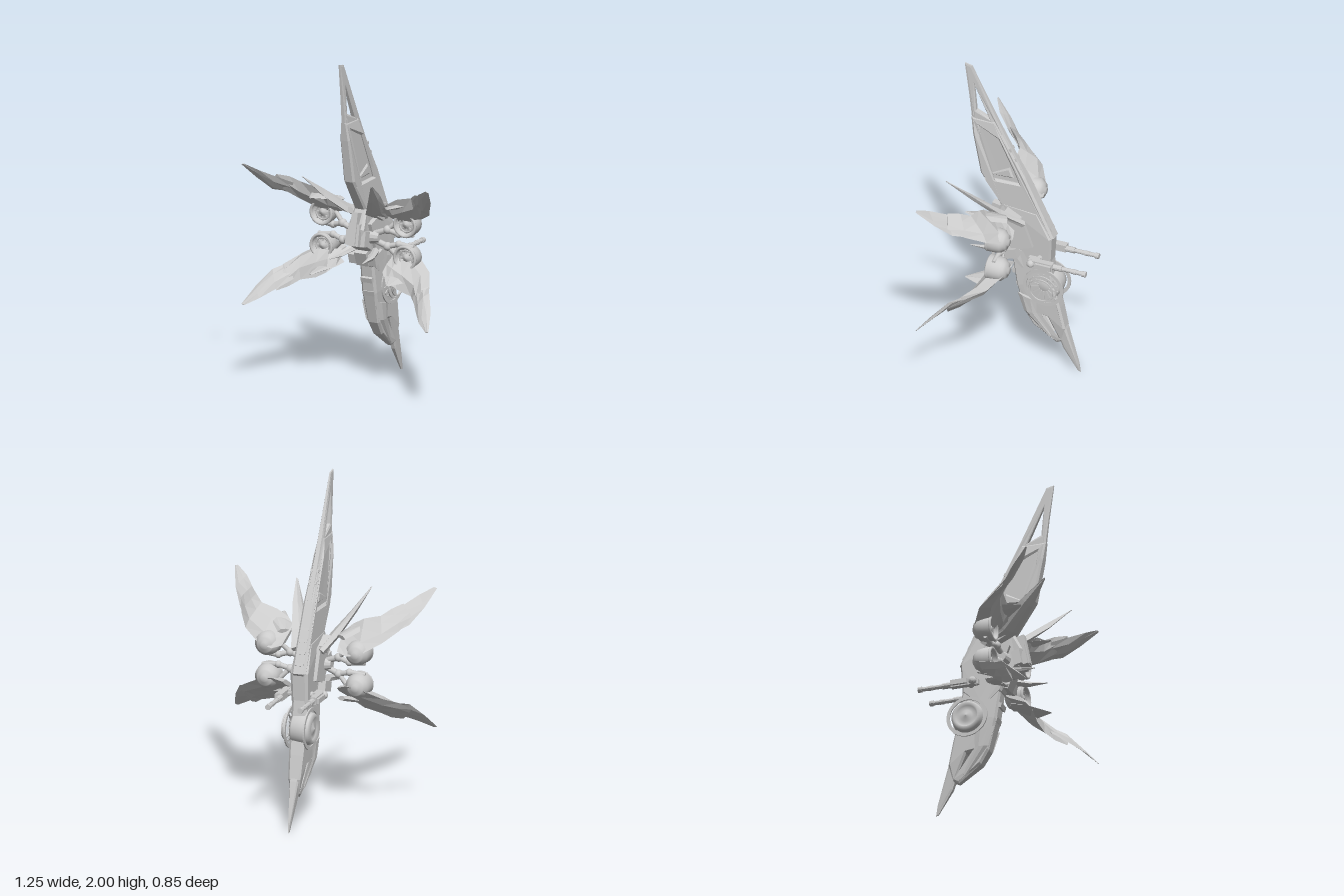
import * as THREE from 'three';

const flat = new THREE.MeshStandardMaterial({ color: 0xcccccc, flatShading: true });
const smooth = new THREE.MeshStandardMaterial({ color: 0xcccccc });
const MID = 0.91; // height about which upper and lower limbs mirror
const V = (p) => new THREE.Vector3(...p);

// Turn faces outward by checking the signed volume
function orient(geo) {
  const p = geo.attributes.position;
  if (!geo.index) geo.setIndex([...Array(p.count).keys()]);
  const ix = geo.index.array, a = new THREE.Vector3(), b = a.clone(), c = a.clone();
  let vol = 0;
  for (let i = 0; i < ix.length; i += 3) {
    a.fromBufferAttribute(p, ix[i]); b.fromBufferAttribute(p, ix[i + 1]); c.fromBufferAttribute(p, ix[i + 2]);
    vol += a.dot(b.cross(c));
  }
  if (vol < 0) for (let i = 0; i < ix.length; i += 3) [ix[i], ix[i + 1]] = [ix[i + 1], ix[i]];
  return geo;
}

// Closed blade lofted through stations [edgeA, edgeB, thickness]
function blade(stations, bow = 0) {
  const pos = [], idx = [], n = 6;
  stations.forEach(([A, B, t], i) => {
    const a = V(A), b = V(B), prev = stations[Math.max(i - 1, 0)], next = stations[Math.min(i + 1, stations.length - 1)];
    const span = V(next[0]).add(V(next[1])).sub(V(prev[0])).sub(V(prev[1]));
    const nor = b.clone().sub(a).cross(span).normalize();
    const at = (u, h) => a.clone().lerp(b, u).addScaledVector(nor, h + bow * t * Math.sin(Math.PI * u));
    [at(0, 0), at(0.3, t), at(0.7, t * 0.8), at(1, 0), at(0.7, -t * 0.8), at(0.3, -t)].forEach((q) => pos.push(q.x, q.y, q.z));
  });
  const last = (stations.length - 1) * n;
  for (let s = 0; s < last; s += n)
    for (let k = 0; k < n; k++) {
      const k2 = (k + 1) % n;
      idx.push(s + k, s + k2, s + n + k, s + k2, s + n + k2, s + n + k);
    }
  for (let k = 1; k < n - 1; k++) idx.push(0, k + 1, k, last, last + k, last + k + 1);
  const g = new THREE.BufferGeometry();
  g.setAttribute('position', new THREE.Float32BufferAttribute(pos, 3));
  g.setIndex(idx);
  g.computeVertexNormals();
  return orient(g);
}

// Side profile in [z, y], extruded across x, half width set by height
function sidePlate(pts, holes, half) {
  const v2 = (l) => l.map(([z, y]) => new THREE.Vector2(z, y));
  const shape = new THREE.Shape(v2(pts));
  holes.forEach((h) => shape.holes.push(new THREE.Path(v2(h))));
  const g = new THREE.ExtrudeGeometry(shape, { depth: 1.4, bevelEnabled: true, bevelThickness: 0.3, bevelSize: 0.012, bevelOffset: -0.012, bevelSegments: 1 });
  g.translate(0, 0, -0.7).rotateY(-Math.PI / 2);
  const p = g.attributes.position;
  for (let i = 0; i < p.count; i++) p.setX(i, p.getX(i) * half(p.getY(i)));
  g.computeVertexNormals();
  return g;
}

// Half width interpolated from [y, width] pairs
const ramp = (tab) => (y) => {
  let i = 0;
  while (i < tab.length - 2 && y > tab[i + 1][0]) i++;
  const [[y0, w0], [y1, w1]] = [tab[i], tab[i + 1]];
  return THREE.MathUtils.lerp(w0, w1, THREE.MathUtils.clamp((y - y0) / (y1 - y0), 0, 1));
};

function rod(a, b, r0, r1 = r0, sides = 10) {
  const d = V(b).sub(V(a));
  const g = new THREE.CylinderGeometry(r1, r0, d.length(), sides);
  g.applyQuaternion(new THREE.Quaternion().setFromUnitVectors(new THREE.Vector3(0, 1, 0), d.clone().normalize()));
  return g.translate(...V(a).addScaledVector(d, 0.5).toArray());
}
const box = (w, h, d, x, y, z, rx = 0) => new THREE.BoxGeometry(w, h, d).rotateX(rx).translate(x, y, z);
const ball = (r, x, y, z) => new THREE.SphereGeometry(r, 14, 10).translate(x, y, z);
const lathe = (pts) => new THREE.LatheGeometry(pts.map(([r, y]) => new THREE.Vector2(r, y)), 32);

export function createModel() {
  const model = new THREE.Group();
  const add = (name, geo, mat = flat, parent = model) => {
    const m = new THREE.Mesh(geo, mat);
    m.name = name;
    parent.add(m);
  };
  // Add a copy mirrored in x (sx) and about MID in y (sy)
  const mirrored = (name, geo, sx, sy, mat, parent) =>
    add(name, orient(geo.clone().translate(0, -MID, 0).scale(sx, sy, 1).translate(0, MID, 0)), mat, parent);
  const pair = (name, geo, mat) => [1, -1].forEach((s) => mirrored(name, geo, s, 1, mat));

  // Dorsal fin: thin pierced blade inside a thicker armour frame
  add('dorsalFin', sidePlate(
    [[0.37, 2], [0.325, 1.99], [0.167, 1.66], [-0.02, 1.3], [-0.2, 0.92], [0, 0.9], [0.12, 1.08], [0.26, 1.29], [0.31, 1.53], [0.34, 1.79]],
    [[[0.31, 1.87], [0.21, 1.65], [0.295, 1.69]]], ramp([[0.9, 0.02], [1.6, 0.018], [2, 0.006]])));
  add('finArmour', sidePlate(
    [[0.325, 1.64], [0.175, 1.64], [-0.02, 1.3], [-0.2, 0.92], [-0.12, 0.82], [0.04, 0.85], [0.12, 1.06], [0.26, 1.27], [0.31, 1.53]],
    [[[0.275, 1.59], [0.15, 1.53], [0.045, 1.31], [0.02, 1.25], [0.22, 1.245]]], ramp([[0.85, 0.045], [1.3, 0.036], [1.55, 0.032], [1.64, 0.018]])));
  add('finInset', sidePlate([[0.21, 1.27], [0.08, 1.345], [0.055, 1.275]], [], () => 0.027));
  for (let i = 0; i < 9; i++) // ribs down the spine
    add('spineRib', box(0.05, 0.02, 0.02, 0, 0.97 + i * 0.062, -0.172 + i * 0.0315, 0.47));

  // Core body and front armour
  add('coreBody', sidePlate(
    [[0.12, 1.1], [-0.1, 1.08], [-0.19, 0.92], [-0.18, 0.74], [-0.05, 0.62], [0.06, 0.72], [0.1, 0.82], [0.17, 0.86], [0.19, 0.97]],
    [], ramp([[0.62, 0.045], [0.85, 0.055], [0.98, 0.055], [1.1, 0.04]])));
  add('chestBlock', box(0.075, 0.13, 0.1, 0, 0.93, 0.16, -0.2));
  add('chestRidge', box(0.04, 0.19, 0.06, 0, 0.97, 0.18, -0.2));
  add('lowerChest', box(0.08, 0.09, 0.1, 0, 0.79, 0.07, 0.4));
  pair('sidePanel', box(0.03, 0.2, 0.14, 0.055, 0.92, 0.02, 0.35));
  pair('chestPlate', box(0.03, 0.09, 0.05, 0.05, 0.91, 0.16, -0.2));
  pair('shoulderBlock', box(0.05, 0.05, 0.1, 0.075, 1.04, 0.05, -0.5));
  pair('hipBlock', box(0.05, 0.06, 0.1, 0.065, 0.78, 0.06, 0.3));
  pair('coreJoint', rod([0.05, 0.91, 0.08], [0.105, 0.91, 0.08], 0.045, 0.03, 12));

  // Tail boom with slit, ending in a blade
  add('tailBoom', sidePlate(
    [[0.07, 0.82], [0.03, 0.55], [-0.02, 0.36], [-0.07, 0.28], [-0.21, 0.18], [-0.25, 0.2], [-0.27, 0.3], [-0.24, 0.44], [-0.2, 0.6], [-0.18, 0.76]],
    [[[-0.09, 0.37], [-0.16, 0.36], [-0.225, 0.22], [-0.195, 0.215], [-0.11, 0.28]]],
    ramp([[0.18, 0.02], [0.3, 0.038], [0.55, 0.05], [0.8, 0.045]])));
  add('tailBlade', sidePlate(
    [[-0.19, 0.38], [-0.21, 0.27], [-0.25, 0.15], [-0.34, 0.005], [-0.355, 0], [-0.345, 0.06], [-0.275, 0.29], [-0.24, 0.38]],
    [], ramp([[0, 0.004], [0.18, 0.018], [0.36, 0.035]])));
  pair('tailPlate', blade([
    [[0.05, 0.5, 0.02], [0.055, 0.47, -0.1], 0.012], [[0.048, 0.38, -0.02], [0.05, 0.38, -0.1], 0.01], [[0.025, 0.22, -0.16], [0.025, 0.23, -0.185], 0.006]]));
  for (let i = 0; i < 4; i++)
    add('tailRib', box(0.075, 0.03, 0.06, 0, 0.64 - i * 0.085, 0.03 - i * 0.027, 0.3));

  // Tail turbine: cross-wise drum with rings, fan blades and free hoops
  const turbine = new THREE.Group();
  turbine.name = 'tailTurbine';
  turbine.position.set(0, 0.58, -0.145);
  model.add(turbine);
  add('drum', lathe([[0, -0.05], [0.03, -0.05], [0.06, -0.035], [0.085, -0.045], [0.095, -0.03], [0.1, 0.03], [0.092, 0.07], [0.075, 0.088], [0.065, 0.07], [0.035, 0.07], [0, 0.085]]).rotateZ(Math.PI / 2), smooth, turbine);
  const hoop = (r, w, x) => {
    const s = new THREE.Shape().absarc(0, 0, r, 0, Math.PI * 2);
    s.holes.push(new THREE.Path().absarc(0, 0, r - w, 0, Math.PI * 2));
    add('turbineRing', new THREE.ExtrudeGeometry(s, { depth: 0.008, bevelEnabled: false, curveSegments: 24 }).rotateY(Math.PI / 2).translate(x, 0, 0), flat, turbine);
  };
  [[0.125, 0.02, 0.055], [0.125, 0.02, -0.063], [0.09, 0.008, 0.075], [0.075, 0.007, 0.09]].forEach((h) => hoop(...h));
  for (let i = 0; i < 14; i++)
    add('fanBlade', box(0.014, 0.055, 0.008, 0.046, 0.06, 0).rotateX((i / 14) * Math.PI * 2), flat, turbine);

  // Four wings, each with flap, tip feather, nacelle and jointed arm
  const wing = blade([
    [[0.17, 1.02, -0.01], [0.155, 1.1, 0.14], 0.015], [[0.23, 1.0, -0.025], [0.2, 1.14, 0.17], 0.026],
    [[0.31, 1.015, -0.015], [0.27, 1.18, 0.17], 0.032], [[0.425, 1.08, 0.06], [0.37, 1.205, 0.18], 0.03],
    [[0.49, 1.13, 0.17], [0.42, 1.24, 0.225], 0.02], [[0.53, 1.19, 0.26], [0.47, 1.26, 0.285], 0.006]], -0.7);
  const feather = blade([
    [[0.46, 1.12, 0.13], [0.4, 1.2, 0.21], 0.014], [[0.525, 1.15, 0.235], [0.47, 1.25, 0.3], 0.012],
    [[0.585, 1.235, 0.32], [0.535, 1.295, 0.375], 0.007], [[0.627, 1.33, 0.42], [0.607, 1.335, 0.42], 0.002]], -0.5);
  const flap = blade([
    [[0.21, 1.09, 0.02], [0.15, 1.1, 0.05], 0.014], [[0.31, 1.14, 0.15], [0.16, 1.11, 0.13], 0.014], [[0.265, 1.14, 0.26], [0.25, 1.14, 0.26], 0.003]]);
  const nacelle = lathe([[0, -0.045], [0.02, -0.045], [0.025, -0.035], [0.045, -0.033], [0.052, -0.02], [0.068, -0.005], [0.074, 0.03], [0.075, 0.07], [0.07, 0.08], [0.06, 0.08], [0.056, 0.05], [0.03, 0.05], [0.018, 0.065], [0, 0.07]])
    .rotateX(Math.PI / 2).translate(0.28, 1.01, 0.02);
  const lip = new THREE.TorusGeometry(0.068, 0.009, 8, 32).translate(0.28, 1.01, 0.096);
  const innerRing = new THREE.TorusGeometry(0.045, 0.005, 6, 24).translate(0.28, 1.01, 0.078);
  const arm = [
    rod([0.07, 0.93, 0.08], [0.15, 0.96, 0.07], 0.018), ball(0.026, 0.15, 0.96, 0.07),
    rod([0.15, 0.96, 0.07], [0.22, 0.94, 0.06], 0.016), ball(0.022, 0.22, 0.94, 0.06),
    rod([0.22, 0.94, 0.06], [0.32, 0.945, 0.06], 0.018, 0.011), rod([0.15, 0.96, 0.07], [0.22, 1.03, 0.05], 0.014)];
  for (const sx of [1, -1]) for (const sy of [1, -1]) {
    const limb = new THREE.Group();
    limb.name = (sy > 0 ? 'upper' : 'lower') + (sx > 0 ? 'Left' : 'Right') + 'Wing';
    model.add(limb);
    mirrored('wingBlade', wing, sx, sy, flat, limb);
    mirrored('tipFeather', feather, sx, sy, flat, limb);
    mirrored('wingFlap', flap, sx, sy, flat, limb);
    mirrored('nacelle', nacelle, sx, sy, smooth, limb);
    mirrored('nacelleLip', lip, sx, sy, smooth, limb);
    mirrored('nacelleRing', innerRing, sx, sy, smooth, limb);
    arm.forEach((g) => mirrored('wingArm', g, sx, sy, smooth, limb));
    for (let i = 0; i < 8; i++)
      mirrored('nacelleVane', box(0.006, 0.04, 0.01, 0, 0.045, 0).rotateZ((i * Math.PI) / 4).translate(0.28, 1.01, 0.074), sx, sy, flat, limb);
  }

  // Long shoulder blades and short lower spikes
  pair('shoulderBlade', blade([
    [[0.1, 1.02, -0.05], [0.045, 1.0, 0.02], 0.02], [[0.145, 1.09, 0.08], [0.06, 1.06, 0.17], 0.022],
    [[0.2, 1.21, 0.24], [0.145, 1.17, 0.29], 0.014], [[0.237, 1.305, 0.395], [0.225, 1.3, 0.395], 0.002]]));
  pair('lowerSpike', blade([
    [[0.1, 0.83, 0.08], [0.05, 0.82, 0.08], 0.022], [[0.12, 0.81, 0.17], [0.08, 0.8, 0.19], 0.016], [[0.112, 0.8, 0.29], [0.106, 0.8, 0.29], 0.002]]));

  // Rearward guns
  const gun = [
    box(0.035, 0.045, 0.15, 0.105, 0.775, -0.15), box(0.016, 0.03, 0.1, 0.13, 0.775, -0.17), box(0.022, 0.03, 0.07, 0.078, 0.78, -0.1),
    rod([0.1, 0.775, -0.22], [0.1, 0.775, -0.42], 0.013), rod([0.1, 0.775, -0.22], [0.1, 0.775, -0.28], 0.018),
    rod([0.1, 0.775, -0.34], [0.1, 0.775, -0.37], 0.015), rod([0.1, 0.775, -0.405], [0.1, 0.775, -0.43], 0.017),
    rod([0.03, 0.78, -0.12], [0.11, 0.775, -0.12], 0.018), ball(0.024, 0.12, 0.775, -0.09)];
  gun.forEach((g) => pair('gunPart', g, flat));
  return model;
}
